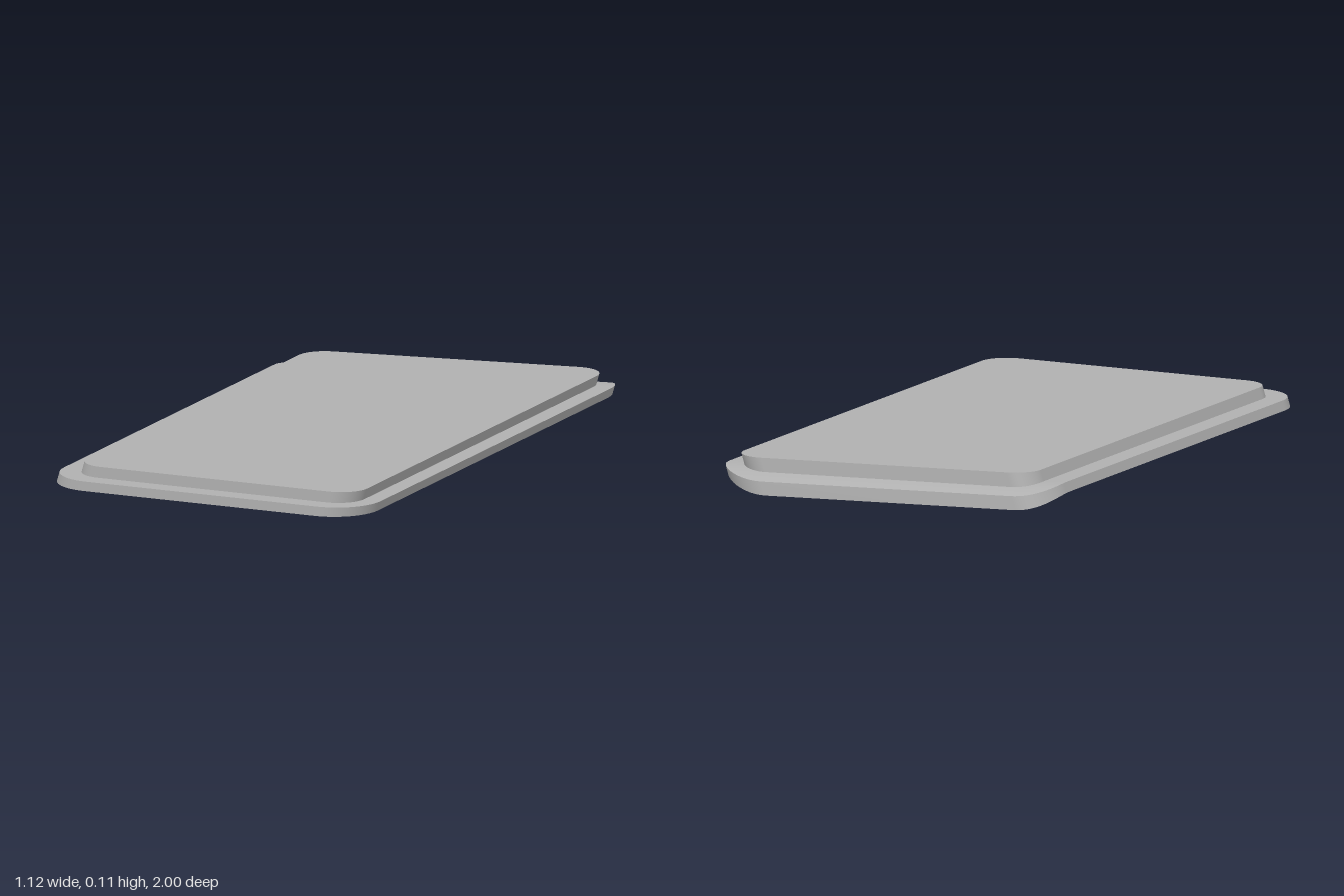
import * as THREE from 'three';

// Arc of a given radius that rounds the corner p between points a and b
function roundCorner(a, p, b, radius, steps) {
  const u = a.clone().sub(p).normalize();
  const v = b.clone().sub(p).normalize();
  const half = Math.acos(u.dot(v)) / 2;
  const centre = u.clone().add(v).normalize().multiplyScalar(radius / Math.sin(half)).add(p);
  const t = radius / Math.tan(half);
  const start = p.clone().addScaledVector(u, t).sub(centre);
  const turn = (Math.PI - 2 * half) * Math.sign(u.cross(v)) * -1;
  return Array.from({ length: steps + 1 }, (_, i) =>
    start.clone().rotateAround(new THREE.Vector2(), (turn * i) / steps).add(centre));
}

// One long side of the outline, front to back, with both its corners rounded
function sidePath(front, back, frontOther, backOther, radius) {
  const first = roundCorner(frontOther, front, back, radius, 14);
  const last = roundCorner(front, back, backOther, radius, 14);
  const mids = [0.4, 0.8, 0.97].map((k) => first[14].clone().lerp(last[0], k));
  return [...first, ...mids, ...last];
}

// Indexed surface with its own smooth normals
function surface(points, index, material) {
  const geometry = new THREE.BufferGeometry();
  geometry.setFromPoints(points);
  geometry.setIndex(index);
  geometry.computeVertexNormals();
  return new THREE.Mesh(geometry, material);
}

// Slab with leaning walls; lowY and highY give the height at an outline point
function slab(name, [fl, fr, br, bl], radius, lowY, highY, leanFrom, material) {
  const left = sidePath(fl, bl, fr, br, radius);
  const right = sidePath(fr, br, fl, bl, radius);
  const ring = [...left, ...right.slice().reverse()];
  const count = ring.length;
  const lift = (height) => ring.map((p) => {
    const y = height(p);
    return new THREE.Vector3(p.x + 0.3 * (y - leanFrom), y, p.y);
  });
  const low = lift(lowY);
  const high = lift(highY);
  const up = [];
  const down = [];
  const walls = [];
  for (let i = 0; i < left.length - 1; i++) {
    const l = i, l2 = i + 1, r = count - 1 - i, r2 = r - 1;
    up.push(l, r, r2, l, r2, l2);
    down.push(l, r2, r, l, l2, r2);
  }
  for (let i = 0; i < count; i++) {
    const j = (i + 1) % count;
    walls.push(i, i + count, j + count, i, j + count, j);
  }
  const group = new THREE.Group();
  group.name = name;
  const faces = {
    Top: surface(high, up, material),
    Underside: surface(low, down, material),
    Walls: surface([...low, ...high], walls, material),
  };
  for (const [part, mesh] of Object.entries(faces)) {
    mesh.name = name + part;
    group.add(mesh);
  }
  return group;
}

export function createModel() {
  const model = new THREE.Group();
  model.name = 'steppedPanel';
  const grey = new THREE.MeshStandardMaterial({ color: 0xb0b0b0 });
  grey.name = 'plain grey';

  const corners = (list) => list.map(([x, z]) => new THREE.Vector2(x, z));
  const outer = corners([[-0.56, 1], [0.55, 1], [0.54, -1.03], [-0.568, -0.835]]);
  const inner = corners([[-0.483, 0.935], [0.5, 0.935], [0.49, -0.957], [-0.49, -0.79]]);

  // The panel climbs slightly toward the back
  const climb = (p) => 0.0065 * (1 - p.y);

  // The rear lip curls down, following the slanted back edge
  const edge = outer[2].clone().sub(outer[3]).normalize();
  const curl = (p) => {
    const d = Math.abs(edge.cross(p.clone().sub(outer[3])));
    return Math.max(0, 1 - d / 0.14) ** 2;
  };

  model.add(slab('basePlate', outer, 0.15,
    (p) => 0.028 + climb(p) - 0.041 * curl(p),
    (p) => 0.059 + climb(p) - 0.028 * curl(p), 0.03, grey));
  model.add(slab('raisedPanel', inner, 0.09,
    (p) => 0.046 + climb(p), (p) => 0.095 + climb(p), 0.06, grey));
  return model;
}
